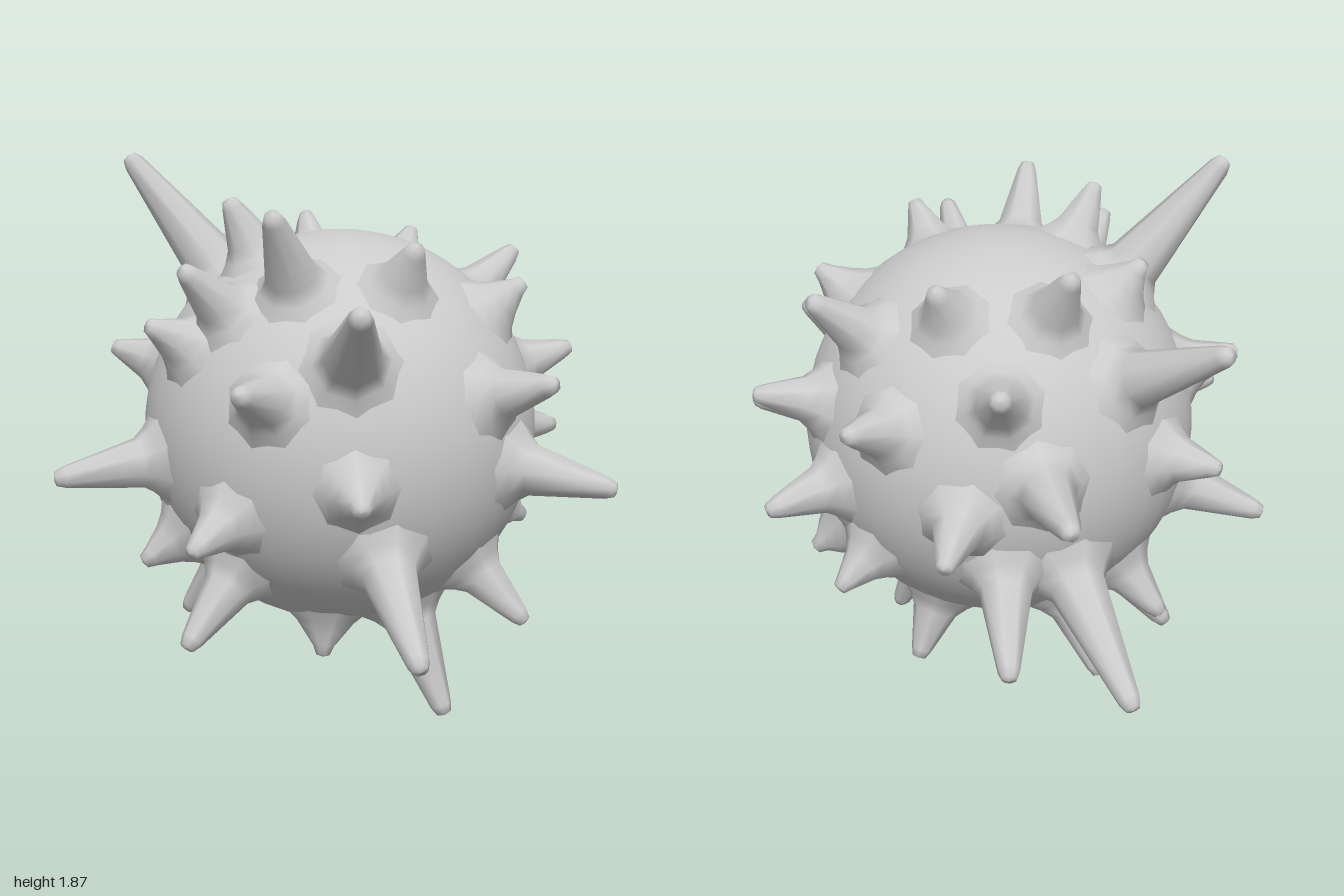
import * as THREE from 'three';

const CENTER = new THREE.Vector3(0.05, 0.94, 0.04);
const RADIUS = 0.67;

// Spike tip positions, grouped by height on the ball
const upperTips = [
  [-0.65, 1.85, -0.18], [-0.33, 1.72, 0.14], [-0.23, 1.7, 0.57], [-0.49, 1.53, 0.44],
  [-0.6, 1.35, 0.36], [0, 1.63, -0.53], [0.38, 1.58, -0.38], [-0.33, 1.57, -0.29],
  [0.72, 1.52, -0.18], [0.61, 1.46, 0.32], [0.21, 1.6, 0.55], [-0.03, 1.46, 0.99],
  [-0.38, 1.45, -0.82], [0.28, 1.35, -0.71],
];
const middleTips = [
  [-0.73, 1.19, -0.21], [0.69, 1.2, -0.49], [0.9, 1.18, -0.05], [-0.35, 1.21, 0.79],
  [0.61, 1.2, 0.7], [0.15, 1.03, -0.96], [-0.47, 0.98, -0.64], [-0.91, 0.85, 0.31],
  [0, 0.87, 0.85], [0.83, 0.85, 0.66], [0.91, 0.85, -0.23], [0.47, 0.86, -0.76],
  [-0.49, 0.7, 0.66], [-0.77, 0.65, -0.41],
];
const lowerTips = [
  [-0.64, 0.54, 0.26], [0.74, 0.56, -0.01], [0.71, 0.56, -0.3], [0.3, 0.49, -0.85],
  [0.15, 0.43, 0.99], [-0.05, 0.4, -0.99], [-0.36, 0.37, -0.5], [0.61, 0.35, 0.48],
  [-0.51, 0.34, 0.53], [-0.05, 0.21, 0.35], [-0.13, 0.19, -0.53], [0.43, 0.16, -0.2],
  [-0.49, 0.16, -0.27], [0.07, 0.16, -0.03], [0.36, 0, 0.41],
];

// Blunt tapering spike with a flared root, standing along +y from the ball's centre
function spikeGeometry(reach) {
  const length = reach - RADIUS;
  const root = 0.062 + length * 0.07;
  const profile = [
    [root + 0.085, RADIUS - 0.035],
    [root + 0.03, RADIUS + 0.012],
    [root, RADIUS + 0.05],
    [0.036, reach - 0.035],
    [0.024, reach - 0.006],
    [0, reach],
  ].map(([r, y]) => new THREE.Vector2(r, y));
  return new THREE.LatheGeometry(profile, 8);
}

export function createModel() {
  const model = new THREE.Group();
  model.name = 'spikyBall';
  const material = new THREE.MeshStandardMaterial({ color: 0xcccccc, side: THREE.DoubleSide });

  // Round core
  const body = new THREE.Mesh(new THREE.SphereGeometry(RADIUS, 40, 28), material);
  body.name = 'body';
  body.position.copy(CENTER);
  model.add(body);

  // Spikes pointing straight out from the core
  const spikes = new THREE.Group();
  spikes.name = 'spikes';
  const up = new THREE.Vector3(0, 1, 0);
  for (const tip of [...upperTips, ...middleTips, ...lowerTips]) {
    const direction = new THREE.Vector3(...tip).sub(CENTER);
    const spike = new THREE.Mesh(spikeGeometry(direction.length()), material);
    spike.name = 'spike';
    spike.position.copy(CENTER);
    spike.quaternion.setFromUnitVectors(up, direction.normalize());
    spikes.add(spike);
  }
  model.add(spikes);
  return model;
}
